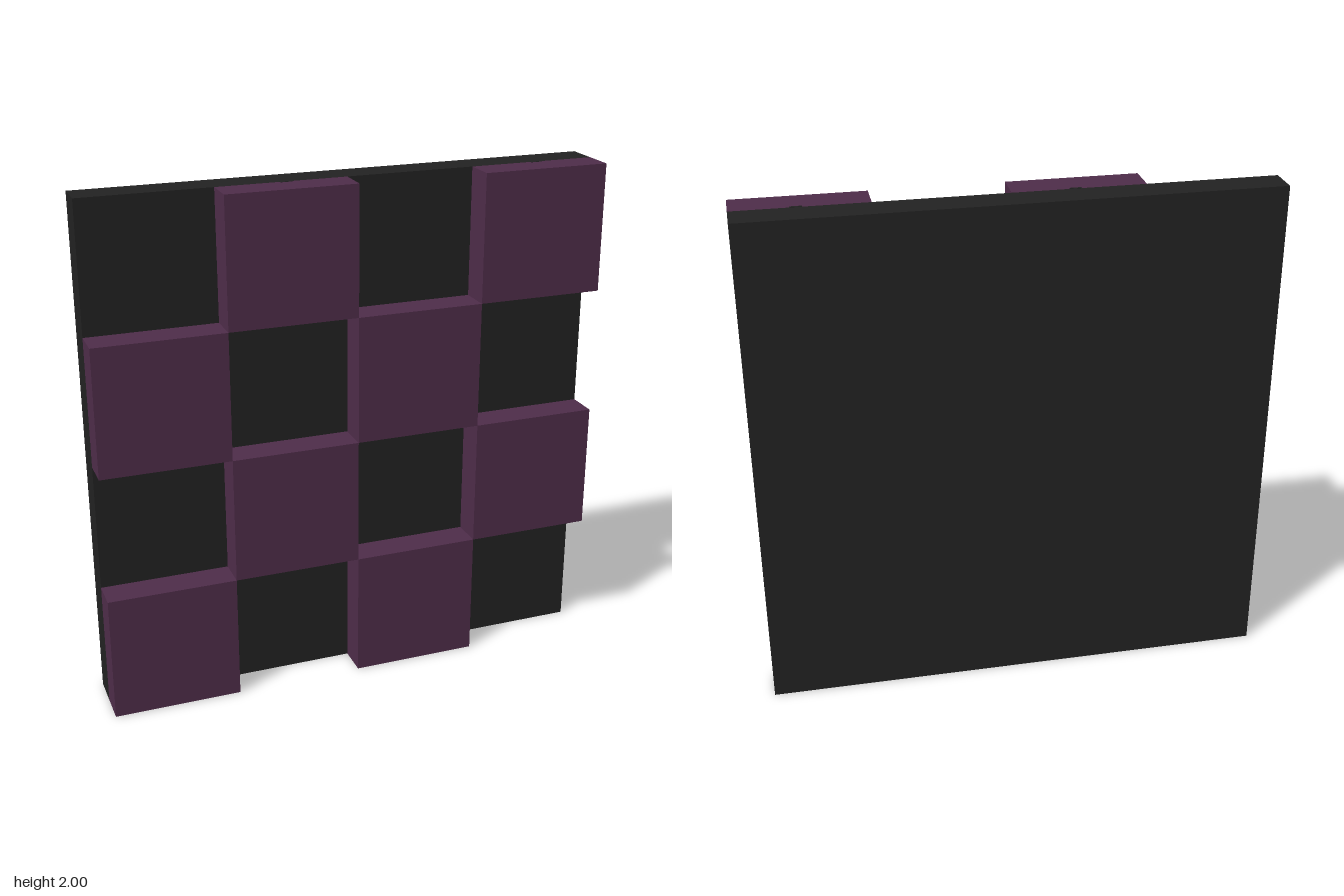
import * as THREE from 'three';

export function createModel() {
  const group = new THREE.Group();
  const charcoal = new THREE.MeshStandardMaterial({ color: 0x222222 });
  charcoal.name = 'charcoal';
  const plum = new THREE.MeshStandardMaterial({ color: 0x4f2d4a });
  plum.name = 'plum';

  function box(name, material, w, h, d, x, y, z) {
    const mesh = new THREE.Mesh(new THREE.BoxGeometry(w, h, d), material);
    mesh.name = name;
    mesh.position.set(x, y, z);
    group.add(mesh);
  }

  const size = 0.5, depth = 0.125;

  // Flat backing board
  box('backPanel', charcoal, 2, 2, depth, 0, 1, -depth / 2);

  // Raised blocks in a checker pattern, starting at the bottom corner
  for (let row = 0; row < 4; row++) {
    for (let col = 0; col < 4; col++) {
      if ((row + col) % 2) continue;
      const x = -0.75 + col * size;
      const y = 0.25 + row * size;
      box('raisedBlock', plum, size, size, depth, x, y, depth / 2);

      // Tiny dark marks on the outer top and side faces, against the board
      if (row === 3) box('topMark', charcoal, 0.045, 0.002, 0.01, x + 0.015, 2, 0.004);
      if (col === 3) box('sideMark', charcoal, 0.002, 0.04, 0.01, 1, y - 0.02, 0.004);
    }
  }
  return group;
}
